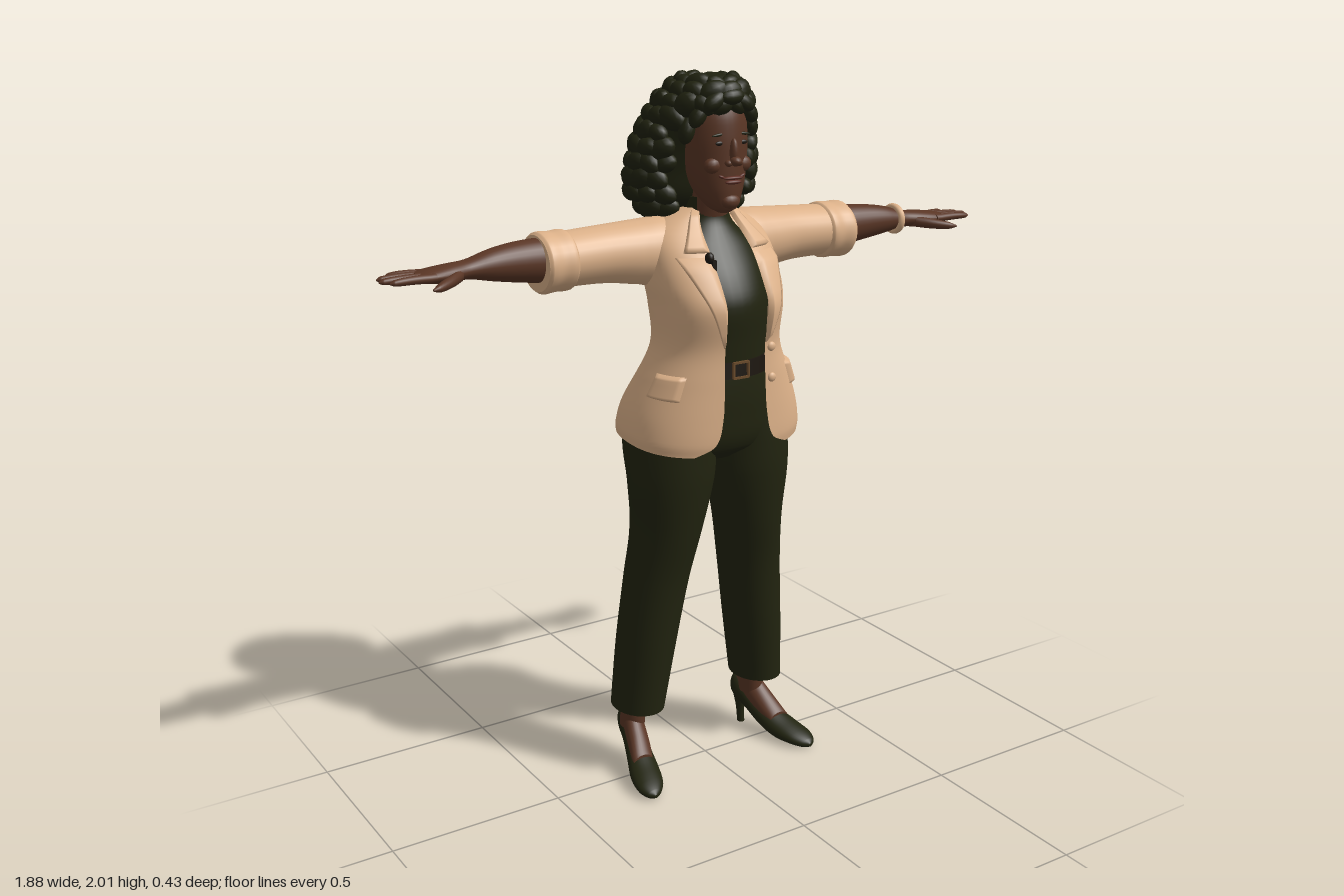
import * as THREE from 'three';

const mat = (name, color, side = THREE.FrontSide) => {
  const m = new THREE.MeshStandardMaterial({ color, side });
  m.name = name;
  return m;
};

// Smooth interpolation of rows [t, a, b, ...] at t
function at(rows, t) {
  let i = 0;
  while (i < rows.length - 2 && t > rows[i + 1][0]) i++;
  const p = rows[i], q = rows[i + 1], h = q[0] - p[0];
  const o = rows[Math.max(i - 1, 0)], r = rows[Math.min(i + 2, rows.length - 1)];
  const u = (t - p[0]) / h, u2 = u * u, u3 = u2 * u;
  return p.map((v, k) => {
    const m0 = (q[k] - o[k]) / (q[0] - o[0]) * h, m1 = (r[k] - v) / (r[0] - p[0]) * h;
    return (2 * u3 - 3 * u2 + 1) * v + (u3 - 2 * u2 + u) * m0 + (3 * u2 - 2 * u3) * q[k] + (u3 - u2) * m1;
  });
}

// Grid surface from point(i, j); rows go "up", columns go counter-clockwise
function grid(ni, nj, point, closed = false, ends = null) {
  const pos = [], idx = [], w = closed ? nj : nj + 1;
  for (let i = 0; i <= ni; i++) for (let j = 0; j < w; j++) pos.push(...point(i, j));
  for (let i = 0; i < ni; i++) for (let j = 0; j < nj; j++) {
    const k = (j + 1) % w, a = i * w + j, b = i * w + k, c = a + w, d = b + w;
    idx.push(a, b, d, a, d, c);
  }
  if (ends) [0, ni].forEach((row, e) => {
    const start = pos.length / 3;
    for (let j = 0; j < w; j++) pos.push(...point(row, j));
    pos.push(...ends[e]);
    for (let j = 0; j < w; j++) {
      const a = start + j, b = start + (j + 1) % w;
      e ? idx.push(a, b, start + w) : idx.push(b, a, start + w);
    }
  });
  const g = new THREE.BufferGeometry();
  g.setAttribute('position', new THREE.Float32BufferAttribute(pos, 3));
  g.setIndex(idx);
  g.computeVertexNormals();
  return g;
}

// Capped loft of ellipses along an axis: rows [t, centre1, centre2, radius1, radius2]
function loft(axis, rows, seg = 28, sub = 5) {
  const n = (rows.length - 1) * sub;
  const ringAt = i => {
    const k = Math.min(Math.floor(i / sub), rows.length - 2), u = i / sub - k;
    return at(rows, rows[k][0] + u * (rows[k + 1][0] - rows[k][0]));
  };
  const place = (i, s, c) => {
    const [t, a, b, r1, r2] = ringAt(i), p = Math.max(r1, 0.001) * s, q = Math.max(r2, 0.001) * c;
    if (axis === 'y') return [a + p, t, b + q];
    return axis === 'x' ? [t, a - p, b + q] : [a - p, b + q, t];
  };
  const f = (i, j) => place(i, Math.sin(j / seg * Math.PI * 2), Math.cos(j / seg * Math.PI * 2));
  return grid(n, seg, f, true, [place(0, 0, 0), place(n, 0, 0)]);
}

// Jacket body rows: y, half width, front z, back z, half width of the opening
const BODY = [
  [1.0, .263, .2, -.18, .15], [1.03, .264, .205, -.178, .095], [1.1, .25, .205, -.162, .072],
  [1.2, .212, .203, -.125, .066], [1.29, .176, .203, -.1, .064], [1.4, .18, .218, -.115, .066],
  [1.46, .188, .19, -.118, .066], [1.54, .185, .135, -.118, .066], [1.59, .168, .085, -.112, .06],
  [1.625, .12, .055, -.09, .05], [1.65, .068, .045, -.06, .04]];
const POW = 2.4;
const angle = (y, x) => Math.asin(Math.min(1, Math.pow(Math.abs(x) / at(BODY, y)[1], POW / 2)));
function bodyPoint(y, th, off = 0) {
  const [, rx, zf, zb] = at(BODY, y), cz = (zf + zb) / 2;
  const bend = v => Math.sign(v) * Math.pow(Math.abs(v), 2 / POW);
  const hem = .055 * (1 - Math.cos(th)) / 2 * Math.max(0, (1.22 - y) / .22);
  return [(rx + off) * bend(Math.sin(th)), y + hem, cz + ((zf - zb) / 2 + off) * bend(Math.cos(th))];
}
// Raised patch on the jacket between two angle rules
const patch = (y0, y1, from, to, off) => grid(12, 10, (i, j) => {
  const y = y0 + (y1 - y0) * i / 12, edge = j === 0 || j === 10 || i === 0 || i === 12;
  const a = from(y), b = to(y);
  return bodyPoint(y, a + (b - a) * j / 10, edge ? 0 : off);
});

export function createModel() {
  const root = new THREE.Group();
  root.name = 'standingWoman';
  const skin = mat('brown skin', 0x5a3625), hairMat = mat('dark hair', 0x1f210f);
  const cloth = mat('dark olive cloth', 0x222410), tan = mat('tan jacket', 0xdcb189, THREE.DoubleSide);
  const beltMat = mat('dark leather', 0x1c160f), brass = mat('dull brass', 0x6b4b2b);
  const lipMat = mat('lips', 0x5e2f25);

  const add = (name, geo, material, parent = root) => {
    const m = new THREE.Mesh(geo, material);
    m.name = name;
    parent.add(m);
    return m;
  };
  // Adds a part on the left and its mirror image on the right
  const pair = (name, geo, material) => {
    add(name + 'Left', geo, material);
    const g = geo.clone().scale(-1, 1, 1), ix = g.index.array;
    for (let i = 0; i < ix.length; i += 3) [ix[i], ix[i + 1]] = [ix[i + 1], ix[i]];
    add(name + 'Right', g, material);
  };
  const blob = (x, y, z, rx, ry, rz, tilt = 0) =>
    new THREE.SphereGeometry(1, 14, 10).scale(rx, ry, rz).rotateZ(tilt).translate(x, y, z);

  // Trousers
  pair('trouserLeg', loft('y', [[.2, .208, -.043, .073, .092], [.4, .185, -.03, .082, .1],
    [.6, .159, -.012, .09, .103], [.75, .138, .008, .098, .113], [.9, .126, .016, .12, .128],
    [1.0, .12, .002, .126, .148], [1.08, .11, 0, .12, .15]]), cloth);
  add('hips', loft('y', [[.955, 0, 0, .12, .09], [1.0, 0, 0, .235, .145], [1.1, 0, .01, .23, .155],
    [1.2, 0, .035, .18, .135], [1.25, 0, .04, .155, .125]]), cloth);

  // Shoes and feet, toes turned out
  pair('shoe', loft('z', [[-.137, .2, .125, .008, .02], [-.12, .203, .124, .03, .042],
    [-.06, .214, .092, .036, .036], [0, .23, .056, .041, .036], [.06, .248, .033, .047, .032],
    [.12, .264, .022, .042, .022], [.152, .271, .015, .024, .014], [.165, .273, .012, .004, .005]]), cloth);
  pair('shoeHeel', loft('y', [[0, .2, -.102, .011, .012], [.05, .2, -.106, .013, .015],
    [.11, .203, -.108, .027, .028]], 16), cloth);
  pair('foot', loft('z', [[-.11, .206, .15, .02, .035], [-.06, .214, .125, .031, .05],
    [0, .229, .085, .034, .038], [.045, .243, .055, .033, .024]]), skin);
  pair('ankle', loft('y', [[.12, .212, -.07, .033, .045], [.23, .208, -.06, .036, .042]]), skin);

  // Sweater with high neck, belt and buckle
  add('sweater', loft('y', [[1.22, 0, .035, .155, .13], [1.3, 0, .045, .15, .13], [1.4, 0, .045, .15, .14],
    [1.47, 0, .03, .15, .13], [1.55, 0, .01, .13, .1], [1.6, 0, .005, .08, .072],
    [1.63, 0, .008, .062, .058], [1.68, 0, .015, .06, .055]], 36), cloth);
  add('belt', loft('y', [[1.205, 0, .04, .163, .137], [1.25, 0, .04, .16, .134]], 36, 1), beltMat);
  [[0, .021, .05, .006], [0, -.021, .05, .006], [.024, 0, .006, .042], [-.024, 0, .006, .042]].forEach(([x, y, w, h]) =>
    add('buckle', new THREE.BoxGeometry(w, h, .008).translate(x, 1.228 + y, .178), brass));

  // Jacket body, open at the front with rounded hem corners
  add('jacketBody', grid(52, 56, (i, j) => {
    const y = 1 + .65 * Math.pow(i / 52, 1.2), a = angle(y, at(BODY, y)[4]);
    return bodyPoint(y, a + (Math.PI * 2 - 2 * a) * j / 56);
  }), tan);
  const inner = y => angle(y, at(BODY, y)[4]);
  pair('lapel', patch(1.3, 1.535, inner, y => angle(y, .068 + (y - 1.3) / .235 * .087), .012), tan);
  pair('collar', patch(1.545, 1.645, inner, y => angle(y, .135 - (y - 1.545) * .72), .014), tan);
  pair('pocketFlap', patch(1.155, 1.225, () => .85, () => 1.45, .011), tan);
  [1.285, 1.2].forEach(y => {
    const p = bodyPoint(y, angle(y, .088));
    add('button', blob(p[0], p[1], p[2] + .003, .013, .013, .008), tan);
  });
  add('lapelMicrophone', blob(-.08, 1.535, .145, .012, .016, .014), beltMat);
  add('microphoneClip', new THREE.BoxGeometry(.012, .03, .014).translate(-.072, 1.515, .152), beltMat);

  // Sleeves with rolled cuffs
  pair('sleeve', loft('x', [[.07, 1.565, -.03, .055, .065], [.14, 1.535, -.03, .092, .085],
    [.2, 1.536, -.036, .087, .088], [.3, 1.54, -.04, .077, .082], [.43, 1.538, -.04, .072, .08]]), tan);
  pair('cuff', loft('x', [[.405, 1.537, -.04, .071, .078], [.415, 1.537, -.04, .08, .088],
    [.45, 1.536, -.04, .079, .086], [.485, 1.535, -.04, .081, .089], [.495, 1.535, -.04, .074, .082]]), tan);

  // Forearms and hands
  pair('forearm', loft('x', [[.45, 1.542, -.036, .062, .056], [.55, 1.547, -.031, .053, .051],
    [.63, 1.549, -.022, .041, .043], [.7, 1.547, -.015, .025, .034], [.75, 1.544, -.01, .024, .04],
    [.81, 1.543, -.008, .018, .044], [.84, 1.543, -.008, .011, .036]]), skin);
  [[-.042, -.056, .9], [-.018, -.027, .932], [.006, .004, .938], [.027, .034, .922]].forEach(([z0, z1, x1], k) =>
    pair('finger' + k, loft('x', [[.8, 1.543, z0, .012, .013], [.86, 1.545, (z0 + z1) / 2, .011, .0115],
      [x1 - .012, 1.544, z1, .008, .009], [x1, 1.543, z1, .002, .002]], 12, 4), skin));
  pair('thumb', loft('x', [[.725, 1.54, .008, .016, .018], [.765, 1.534, .042, .015, .018],
    [.81, 1.528, .072, .011, .014], [.832, 1.526, .084, .003, .004]], 12, 4), skin);
  add('bracelet', new THREE.TorusGeometry(.036, .009, 10, 32).rotateY(Math.PI / 2).scale(1.2, 1, 1.08)
    .translate(.676, 1.548, -.018), tan);

  // Head and face
  const HEAD = [[1.642, 0, .09, .015, .015], [1.655, 0, .083, .036, .044], [1.69, 0, .065, .06, .068],
    [1.73, 0, .05, .076, .085], [1.78, 0, .04, .086, .096], [1.85, 0, .035, .09, .1],
    [1.91, 0, .025, .084, .1], [1.95, 0, .015, .06, .08], [1.965, 0, .015, .02, .03]];
  const faceZ = (x, y) => {
    const [, , cz, rx, rz] = at(HEAD, y);
    return cz + rz * Math.sqrt(Math.max(0, 1 - (x / rx) ** 2));
  };
  add('head', loft('y', HEAD, 36), skin);
  add('throat', loft('y', [[1.62, 0, .015, .055, .05], [1.7, 0, .03, .055, .055]]), skin);
  add('noseBridge', blob(0, 1.805, faceZ(0, 1.805) + .002, .012, .036, .014), skin);
  add('noseTip', blob(0, 1.782, faceZ(0, 1.782) + .011, .016, .013, .018), skin);
  pair('nostril', blob(.016, 1.777, faceZ(.016, 1.777) + .004, .011, .009, .011), skin);
  pair('cheek', blob(.046, 1.77, faceZ(.046, 1.77) - .012, .026, .022, .02), skin);
  add('chin', blob(0, 1.675, faceZ(0, 1.675) - .009, .028, .02, .018), skin);
  pair('eye', blob(.036, 1.828, faceZ(.036, 1.828) - .001, .014, .006, .004), beltMat);
  pair('eyebrow', blob(.038, 1.85, faceZ(.038, 1.85), .022, .004, .004, -.12), hairMat);
  add('upperLip', blob(0, 1.738, faceZ(0, 1.738) + .002, .032, .005, .009), lipMat);
  add('lowerLip', blob(0, 1.727, faceZ(0, 1.727) + .002, .026, .006, .009), lipMat);
  pair('mouthCorner', blob(.031, 1.741, faceZ(.031, 1.741) + .001, .011, .004, .005, .4), lipMat);

  // Hair: a core with rows of overlapping curls
  const hair = new THREE.Group();
  hair.name = 'hair';
  root.add(hair);
  const CORE = [[1.635, 0, -.085, .13, .075], [1.68, 0, -.078, .172, .105], [1.75, 0, -.072, .178, .115],
    [1.82, 0, -.056, .162, .12], [1.88, 0, -.035, .138, .128], [1.93, 0, -.008, .11, .125],
    [1.965, 0, .01, .075, .095], [1.985, 0, .012, .03, .035]];
  add('hairCore', loft('y', CORE, 36), hairMat, hair);
  let seed = 7;
  const rnd = () => (seed = (seed * 16807) % 2147483647) / 2147483647;
  [1.65, 1.69, 1.73, 1.77, 1.81, 1.85, 1.89, 1.925, 1.955, 1.972].forEach((y, row) => {
    const [, , cz, rx, rz] = at(CORE, y), n = Math.max(6, Math.round((rx + rz) * 66));
    for (let k = 0; k < n; k++) {
      const th = (k + (row % 2) / 2) / n * Math.PI * 2, s = Math.sin(th), c = Math.cos(th);
      const jig = .85 + rnd() * .35, tilt = rnd() * 1.2 - .6;
      if (y < 1.91 && c > (y > 1.84 ? .6 : .72)) continue;
      const g = new THREE.SphereGeometry(1, 12, 8).scale(.036 * jig, .027 * jig, .024).rotateZ(tilt).rotateY(th);
      add('curl', g.translate(rx * s, y, cz + rz * c), hairMat, hair);
    }
  });
  // Fringe swept from the parting, and locks framing the face
  [[-.075, 1.9, .085, 1.0], [-.045, 1.935, .115, .6], [.0, 1.945, .125, .1], [.04, 1.93, .118, -.5],
    [.07, 1.905, .098, -.9], [.09, 1.87, .075, -1.2], [-.095, 1.86, .06, 1.3]].forEach(([x, y, z, t]) =>
    add('fringeLock', blob(x, y, z, .038, .022, .024, t), hairMat, hair));
  add('crownLock', blob(.01, 1.976, .02, .06, .024, .06), hairMat, hair);
  return root;
}
